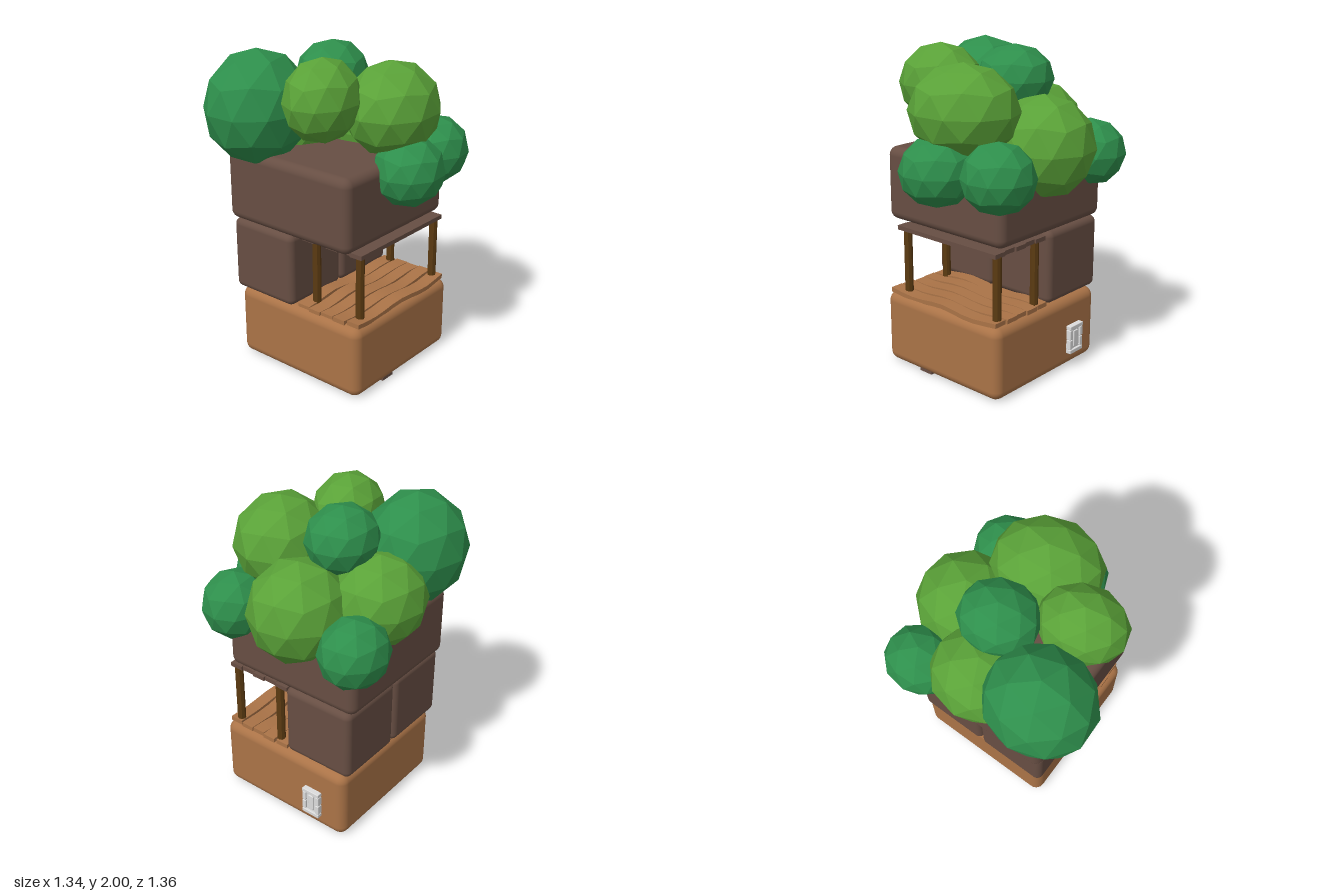
import * as THREE from 'three';
import { RoundedBoxGeometry } from 'three/addons/geometries/RoundedBoxGeometry.js';

const mat = (name, color, flatShading = false) => {
  const m = new THREE.MeshStandardMaterial({ color, flatShading });
  m.name = name;
  return m;
};

export function createModel() {
  const model = new THREE.Group();
  model.name = 'treeHouse';
  const tan = mat('tanWood', 0xaa7347);
  const bark = mat('darkBark', 0x674e43);
  const post = mat('postWood', 0x5c3b12, true);
  const metal = mat('paleMetal', 0xdcdcdc);
  const lightLeaf = mat('lightLeaf', 0x5aa238, true);
  const darkLeaf = mat('darkLeaf', 0x2e8f4c, true);

  const group = (name, parent) => {
    const g = new THREE.Group();
    g.name = name;
    parent.add(g);
    return g;
  };
  const add = (name, geometry, material, x, y, z, parent) => {
    const mesh = new THREE.Mesh(geometry, material);
    mesh.name = name;
    mesh.position.set(x, y, z);
    parent.add(mesh);
    return mesh;
  };
  // Box given by its limits; a radius rounds the edges
  const span = (name, material, [x0, x1], [y0, y1], [z0, z1], radius, parent) => {
    const size = [x1 - x0, y1 - y0, z1 - z0];
    const geometry = radius
      ? new RoundedBoxGeometry(...size, 4, radius)
      : new THREE.BoxGeometry(...size);
    return add(name, geometry, material, (x0 + x1) / 2, (y0 + y1) / 2, (z0 + z1) / 2, parent);
  };

  // The house stands turned by two degrees
  const house = group('house', model);
  house.rotation.y = -0.035;

  // Stacked trunk blocks
  span('baseBlock', tan, [-0.452, 0.476], [0.005, 0.468], [-0.482, 0.462], 0.06, house);
  span('middleBlockRight', bark, [-0.467, -0.003], [0.468, 0.935], [-0.505, -0.028], 0.042, house);
  span('middleBlockLeft', bark, [-0.003, 0.459], [0.468, 0.935], [-0.505, -0.028], 0.042, house);
  span('upperBlock', bark, [-0.473, 0.459], [0.93, 1.39], [-0.535, 0.408], 0.055, house);
  span('baseNotch', bark, [-0.175, -0.075], [0.006, 0.026], [0.4, 0.448], 0, house);

  // Deck of warped planks running across the front
  const deck = group('deck', house);
  const plankCount = 5;
  const pitch = 0.096;
  for (let i = 0; i < plankCount; i++) {
    const length = 0.86 + 0.015 * (i % 2);
    const geometry = new THREE.BoxGeometry(length, 0.028, pitch - 0.01, 10, 1, 1);
    const p = geometry.attributes.position;
    for (let k = 0; k < p.count; k++) {
      const x = p.getX(k);
      const wave = 0.01 * Math.cos(x * 13 + i * 0.6) + 0.004 * Math.sin(x * 7 + i);
      p.setY(k, p.getY(k) + wave);
      p.setZ(k, p.getZ(k) + 0.007 * Math.sin(x * 9 + i * 1.3));
    }
    geometry.computeVertexNormals();
    add('deckPlank', geometry, tan, 0.015, 0.477, 0.4 - i * pitch, deck);
  }

  // Posts holding up the canopy
  const posts = group('posts', house);
  for (const x of [-0.322, 0.408]) {
    for (const z of [0.383, 0.05]) {
      add('post', new THREE.CylinderGeometry(0.026, 0.026, 0.42, 8), post, x, 0.68, z, posts);
    }
  }

  // Canopy of thin boards under the upper block
  const canopy = group('canopy', house);
  for (let i = 0; i < 5; i++) {
    const z = 0.426 - i * 0.09;
    const shift = 0.01 * (i % 2);
    span('canopyBoard', bark, [-0.367 + shift, 0.432 - shift],
      [0.885, 0.912], [z - 0.088, z], 0, canopy);
  }

  // Framed vent on the left wall
  const vent = group('vent', house);
  span('ventPlate', metal, [0.47, 0.496], [0.105, 0.28], [-0.313, -0.198], 0, vent);
  for (const y of [0.1, 0.26]) {
    span('ventRail', metal, [0.472, 0.51], [y, y + 0.026], [-0.318, -0.193], 0.004, vent);
  }
  for (const z of [-0.318, -0.219]) {
    for (const y of [0.128, 0.195]) {
      span('ventStile', metal, [0.472, 0.508], [y, y + 0.063], [z, z + 0.026], 0.004, vent);
    }
  }
  span('ventPanel', metal, [0.475, 0.504], [0.14, 0.246], [-0.276, -0.235], 0.004, vent);

  // Faceted leaf clumps: material, centre, radii
  const foliage = group('foliage', model);
  const leaf = new THREE.IcosahedronGeometry(1, 1);
  leaf.rotateZ(Math.atan(2 / (1 + Math.sqrt(5))));
  const clumps = [
    [darkLeaf, [-0.345, 1.645, -0.377], [0.338, 0.348, 0.312]],
    [lightLeaf, [0.045, 1.475, -0.39], [0.305, 0.28, 0.28]],
    [darkLeaf, [0.412, 1.335, -0.476], [0.228, 0.21, 0.206]],
    [lightLeaf, [0.365, 1.435, -0.06], [0.318, 0.312, 0.303]],
    [darkLeaf, [0.078, 1.797, -0.152], [0.241, 0.203, 0.218]],
    [lightLeaf, [-0.308, 1.754, 0.08], [0.27, 0.246, 0.222]],
    [lightLeaf, [0.065, 1.662, 0.298], [0.338, 0.28, 0.285]],
    [darkLeaf, [0.005, 1.33, 0.463], [0.232, 0.212, 0.215]],
    [darkLeaf, [0.397, 1.342, 0.39], [0.22, 0.212, 0.204]],
  ];
  clumps.forEach(([material, centre, radii], i) => {
    const clump = add('leafClump', leaf, material, ...centre, foliage);
    clump.scale.set(...radii);
    clump.rotation.y = i * 0.05;
  });

  return model;
}
